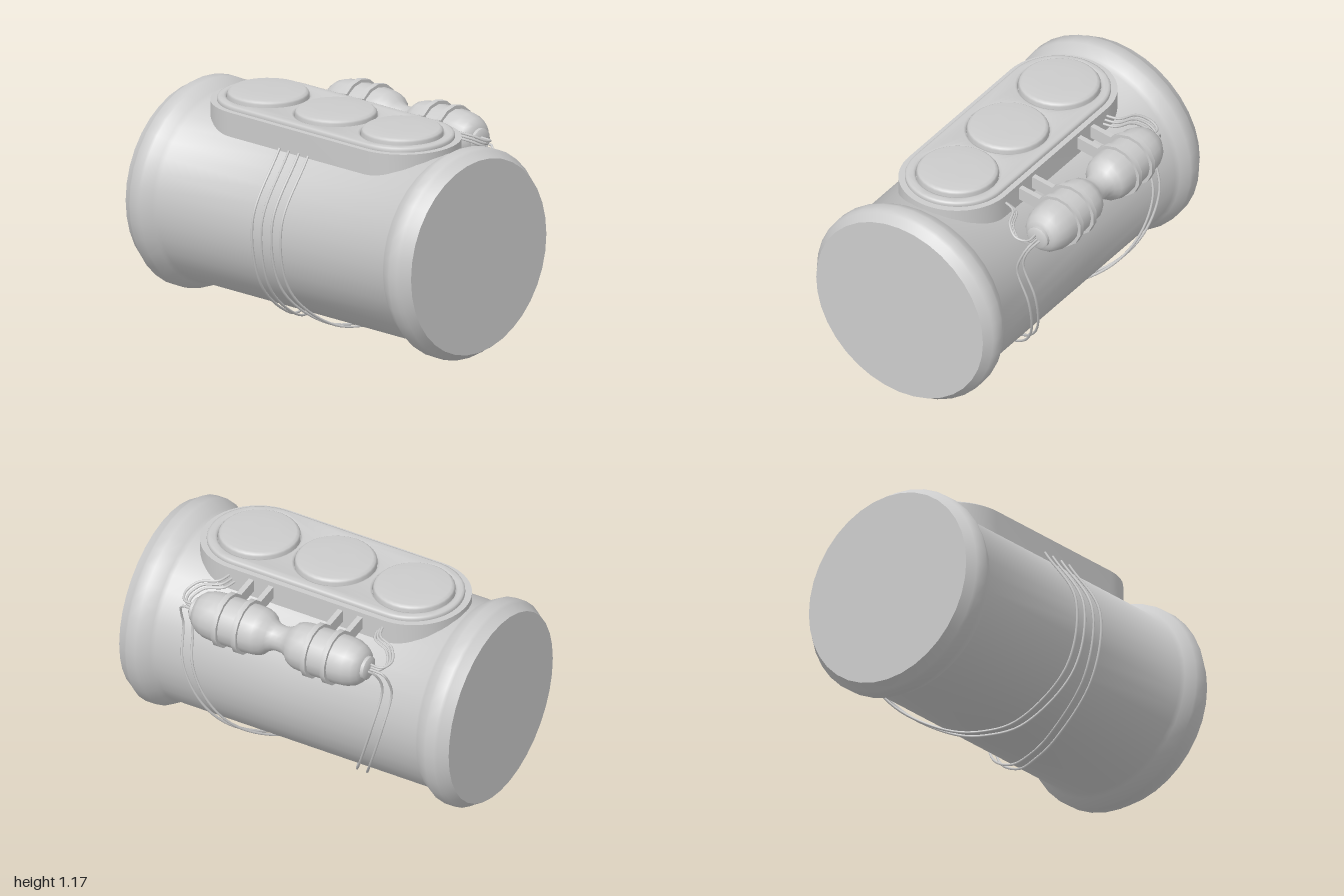
import * as THREE from 'three';
import { toCreasedNormals } from 'three/addons/utils/BufferGeometryUtils.js';

const CX = -0.065, CY = 0.568; // axis of the main drum
const PX = 0.48, PY = 0.97;    // axis of the side canister
const material = new THREE.MeshStandardMaterial({ color: 0xcccccc });

export function createModel() {
  const model = new THREE.Group();

  const add = (name, geometry, x = 0, y = 0, z = 0) => {
    const mesh = new THREE.Mesh(geometry, material);
    mesh.name = name;
    mesh.position.set(x, y, z);
    model.add(mesh);
    return mesh;
  };
  const lathe = (half, segments) =>
    new THREE.LatheGeometry(half.map(([r, h]) => new THREE.Vector2(r, h)), segments);
  // Profile given from the middle (z = 0) to the end, mirrored to the other end
  const mirrored = (half) => [
    ...half.slice().reverse().map(([r, h]) => [r, -h]),
    ...half.filter(([, h]) => h > 0),
  ];
  const wire = (name, points) =>
    add(name, new THREE.TubeGeometry(new THREE.CatmullRomCurve3(points), 72, 0.007, 6));

  // Drum with flared rims
  const drum = mirrored([
    [0.513, 0], [0.513, 0.79], [0.53, 0.81], [0.562, 0.865], [0.566, 0.88],
    [0.566, 0.935], [0.555, 0.95], [0.525, 1], [0, 1],
  ]);
  add('drum', toCreasedNormals(lathe(drum, 36).rotateX(Math.PI / 2), 0.9), CX, CY);

  // Raised panel: a base and a thinner plate with three round openings
  const stadium = (r, halfLength) => {
    const s = new THREE.Shape();
    s.absarc(0, halfLength - r, r, 0, Math.PI);
    s.absarc(0, r - halfLength, r, Math.PI, Math.PI * 2);
    s.closePath();
    return s;
  };
  const base = new THREE.ExtrudeGeometry(stadium(0.305, 0.775),
    { depth: 0.16, bevelEnabled: false, curveSegments: 16 }).rotateX(-Math.PI / 2);
  add('panelBase', toCreasedNormals(base, 0.6), CX, 0.95);

  const buttonZ = [-0.475, 0, 0.465];
  const plateShape = stadium(0.26, 0.725);
  for (const z of buttonZ) {
    const hole = new THREE.Path();
    hole.absarc(0, -z, 0.232, 0, Math.PI * 2, true);
    plateShape.holes.push(hole);
  }
  const plate = new THREE.ExtrudeGeometry(plateShape, {
    depth: 0.02, bevelThickness: 0.012, bevelSize: 0.014, bevelSegments: 2, curveSegments: 18,
  }).rotateX(-Math.PI / 2);
  add('panelPlate', toCreasedNormals(plate, 0.9), CX, 1.103);

  // Shallow domed buttons
  const buttonProfile = [[0.215, 0], [0.215, 0.045], [0.208, 0.054], [0.194, 0.063], [0.1, 0.066], [0, 0.067]];
  for (const z of buttonZ) add('button', lathe(buttonProfile, 32), CX, 1.1, z);

  // Twin-lobed canister
  const canister = mirrored([
    [0.07, 0], [0.073, 0.03], [0.088, 0.06], [0.115, 0.085], [0.128, 0.12], [0.132, 0.17],
    [0.132, 0.38], [0.127, 0.43], [0.11, 0.475], [0.088, 0.502], [0.064, 0.51],
    [0.064, 0.528], [0.052, 0.535], [0, 0.535],
  ]);
  add('canister', toCreasedNormals(lathe(canister, 16).rotateX(Math.PI / 2), 0.8), PX, PY);

  // Clamp bands with arms reaching into the panel
  for (const z of [-0.33, -0.21, 0.21, 0.33]) {
    const band = new THREE.CylinderGeometry(0.15, 0.15, 0.03, 14).rotateX(Math.PI / 2);
    add('clampBand', toCreasedNormals(band, 0.6), PX, PY, z);
    const arm = add('clampArm', new THREE.BoxGeometry(0.24, 0.07, 0.03), 0.305, 1.04, z);
    arm.rotation.z = -0.14;
  }

  // Point on the drum's surface at an angle in degrees, slightly lifted
  const onDrum = (deg, z, r = 0.543) => {
    const a = THREE.MathUtils.degToRad(deg);
    return new THREE.Vector3(CX + r * Math.cos(a), CY + r * Math.sin(a), z);
  };
  const wrapAngles = [26, 4, -21, -44, -73, -90, -110, -150, -190, -233];
  const wrapPaths = [
    [0.632, 0.605, 0.525, 0.425, 0.3, 0.22, 0.155, 0.105, 0.1, 0.1],
    [0.575, 0.545, 0.465, 0.365, 0.235, 0.165, 0.1, 0.045, 0.035, 0.035],
  ];
  for (const s of [1, -1]) {
    // Long wires from the canister end, round under the drum, to the panel's right side
    wrapPaths.forEach((path, i) => {
      wire('longWire', [
        new THREE.Vector3(PX + 0.02 * i, PY - 0.005, s * 0.525),
        new THREE.Vector3(PX - 0.005 + 0.015 * i, PY - 0.015, s * (path[0] - 0.02)),
        new THREE.Vector3(0.447, 0.89, s * path[0]),
        ...wrapAngles.map((deg, k) => onDrum(deg, s * path[k])),
      ]);
    });
    // Short wires from the canister end to the panel's left side
    for (let i = 0; i < 3; i++) {
      const d = i * 0.016;
      wire('shortWire', [
        new THREE.Vector3(PX - 0.01, PY + 0.02 - d, s * 0.525),
        new THREE.Vector3(PX - 0.015, PY + 0.02 - d, s * (0.6 - d)),
        new THREE.Vector3(0.41, 1.005 - d, s * (0.625 - d)),
        new THREE.Vector3(0.345, 1.04 - d, s * (0.585 - d)),
        new THREE.Vector3(0.3, 1.055 - d, s * (0.49 - d)),
        new THREE.Vector3(0.22, 1.065 - d, s * (0.46 - d)),
      ]);
    }
  }
  return model;
}
